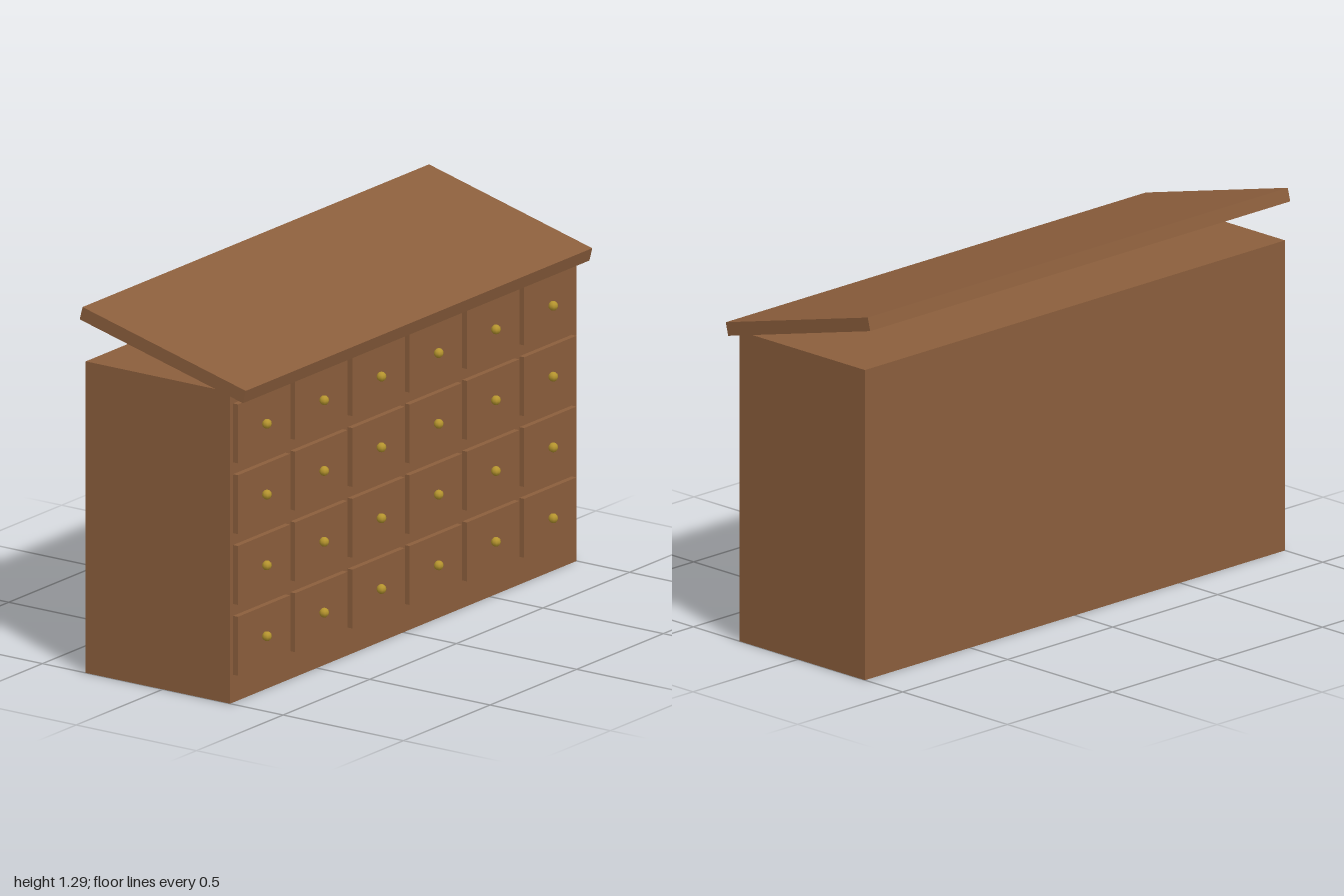
import * as THREE from 'three';

export function createModel() {
  const wood = new THREE.MeshStandardMaterial({ color: 0x8b5e3c });
  wood.name = 'wood';
  const brass = new THREE.MeshStandardMaterial({ color: 0xb5942e });
  brass.name = 'brass';

  const model = new THREE.Group();
  model.name = 'drawerCounter';

  function add(name, geometry, material, x, y, z) {
    const mesh = new THREE.Mesh(geometry, material);
    mesh.name = name;
    mesh.position.set(x, y, z);
    model.add(mesh);
    return mesh;
  }

  // Solid cabinet body
  add('cabinet', new THREE.BoxGeometry(2, 1.1, 0.6), wood, 0, 0.55, -0.02);

  // Sloping top, high at the back
  add('slopedTop', new THREE.BoxGeometry(2, 0.047, 0.7), wood, 0, 1.18, 0).rotation.x = 0.25;

  // Four rows of six drawers, each with a round knob
  const frontGeometry = new THREE.BoxGeometry(0.302, 0.208, 0.02);
  const knobGeometry = new THREE.SphereGeometry(0.017, 8, 6);
  for (let row = 0; row < 4; row++) {
    for (let column = 0; column < 6; column++) {
      const x = -0.832 + column * 0.3305;
      const y = 0.202 + row * 0.25;
      add('drawerFront', frontGeometry, wood, x, y, 0.29);
      add('drawerKnob', knobGeometry, brass, x, y, 0.312);
    }
  }
  return model;
}
